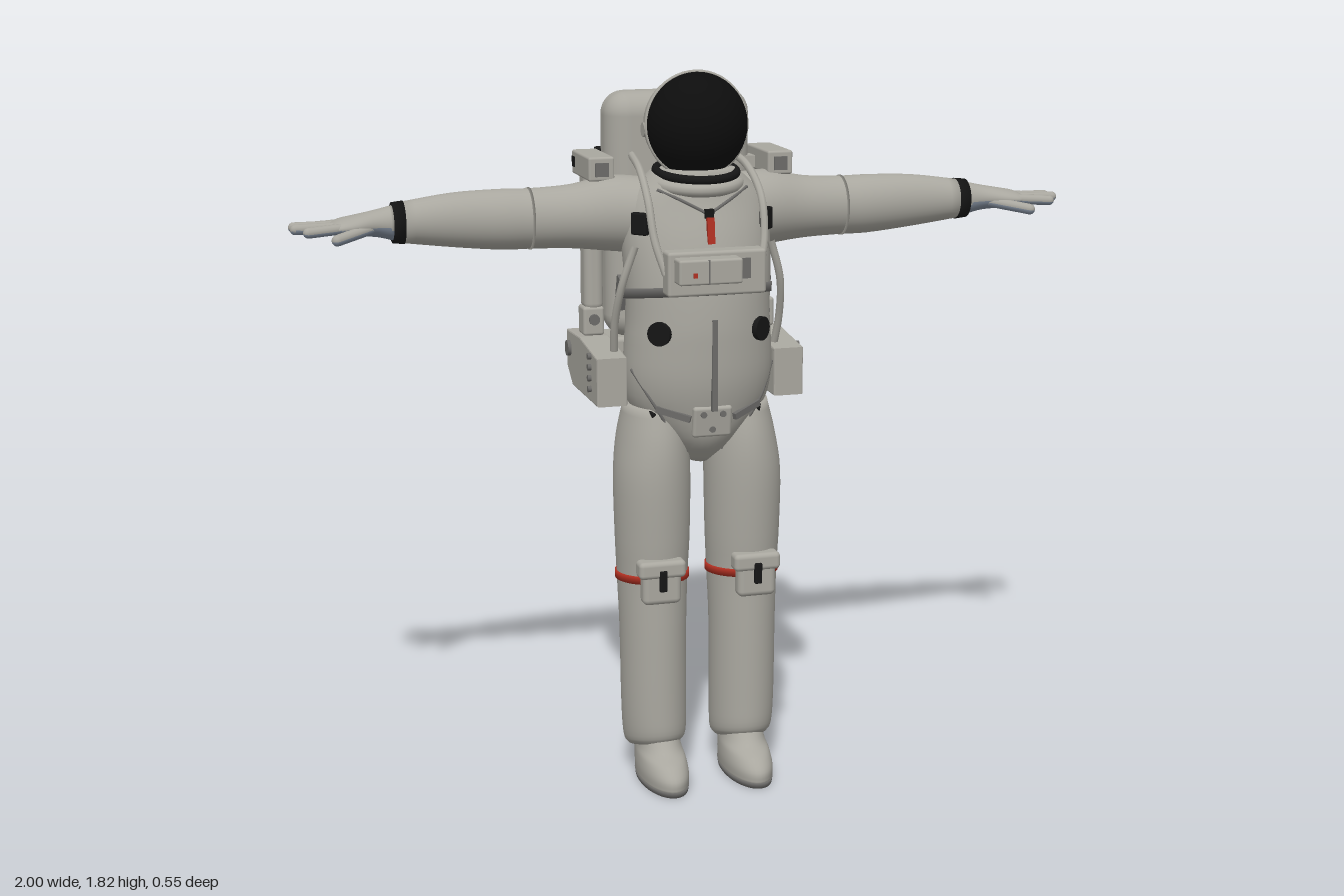
import * as THREE from 'three';
import { RoundedBoxGeometry } from 'three/addons/geometries/RoundedBoxGeometry.js';

const paint = (name, color) => Object.assign(new THREE.MeshStandardMaterial({ color }), { name });
const V = (x, y, z) => new THREE.Vector3(x, y, z);
const box = (w, h, d) => new THREE.BoxGeometry(w, h, d);
const rbox = (w, h, d, r) => new RoundedBoxGeometry(w, h, d, 4, r);
const disc = (r, h) => new THREE.CylinderGeometry(r, r, h, 24);
const tube = (pts, r) => new THREE.TubeGeometry(new THREE.CatmullRomCurve3(pts), 32, r, 8);

function add(parent, name, geo, mat, pos = [0, 0, 0], rot = [0, 0, 0]) {
  const m = new THREE.Mesh(geo, mat);
  m.name = name;
  m.position.set(...pos);
  m.rotation.set(...rot);
  parent.add(m);
  return m;
}

// Smoothly resample rows of section values
function sample(rows, n = 4) {
  const size = rows[0].length;
  const it = new THREE.CubicInterpolant(rows.map((_, i) => i), rows.flat(), size, new Float32Array(size));
  return Array.from({ length: (rows.length - 1) * n + 1 }, (_, k) => Array.from(it.evaluate(k / n)));
}

// Loft of ellipses: [position on axis, centre a, centre b, radius a, radius b, tilt]
function loft(rows, axis = 'y', smooth = 4, seg = 36) {
  const R = sample(rows, smooth), pos = [], idx = [];
  const put = (t, a, b) => pos.push(...(axis === 'y' ? [a, t, b] : [t, a, b]));
  const sgn = axis === 'y' ? 1 : -1;
  for (const [t, a, b, ra, rb, tilt = 0] of R)
    for (let i = 0; i < seg; i++) {
      const u = i / seg * Math.PI * 2, db = sgn * rb * Math.sin(u);
      put(t + tilt * db, a + ra * Math.cos(u), b + db);
    }
  for (const [t, a, b] of [R[0], R.at(-1)]) put(t, a, b);
  const c0 = R.length * seg, last = (R.length - 1) * seg;
  for (let i = 0; i < seg; i++) {
    const j = (i + 1) % seg;
    for (let k = 0; k < last; k += seg) idx.push(k + i, k + seg + i, k + j, k + j, k + seg + i, k + seg + j);
    idx.push(c0, i, j, c0 + 1, last + j, last + i);
  }
  const g = new THREE.BufferGeometry();
  g.setAttribute('position', new THREE.Float32BufferAttribute(pos, 3));
  g.setIndex(idx);
  g.computeVertexNormals();
  return g;
}

// Capsule between two points
function rod(a, b, r) {
  const d = b.clone().sub(a);
  const g = new THREE.CapsuleGeometry(r, d.length(), 5, 12);
  g.applyQuaternion(new THREE.Quaternion().setFromUnitVectors(V(0, 1, 0), d.normalize()));
  const m = a.clone().lerp(b, 0.5);
  return g.translate(m.x, m.y, m.z);
}

// Faces that look down get the second material
function splitUnderside(g) {
  const ix = g.index.array, n = g.attributes.normal, up = [], down = [];
  for (let i = 0; i < ix.length; i += 3) {
    const t = [ix[i], ix[i + 1], ix[i + 2]];
    (n.getY(t[0]) + n.getY(t[1]) + n.getY(t[2]) < -0.6 ? down : up).push(...t);
  }
  g.setIndex([...up, ...down]);
  g.clearGroups();
  g.addGroup(0, up.length, 0);
  g.addGroup(up.length, down.length, 1);
  return g;
}

// Mirrored copy across x with corner order put right
function mirrored(group) {
  const out = new THREE.Group();
  out.name = group.name.replace('left', 'right');
  group.updateMatrixWorld(true);
  group.traverse(m => {
    if (!m.isMesh) return;
    const g = m.geometry.index ? m.geometry.toNonIndexed() : m.geometry.clone();
    g.applyMatrix4(m.matrixWorld).scale(-1, 1, 1);
    for (const { array: a, itemSize: s } of Object.values(g.attributes))
      for (let i = 0; i < a.length; i += 3 * s)
        for (let k = 0; k < s; k++) [a[i + s + k], a[i + 2 * s + k]] = [a[i + 2 * s + k], a[i + s + k]];
    add(out, m.name, g, m.material);
  });
  return out;
}

const TORSO = [[0.84, 0, 0.03, 0.03, 0.06], [0.9, 0, 0.03, 0.1, 0.122], [0.98, 0, 0.035, 0.17, 0.143],
  [1.06, 0, 0.045, 0.19, 0.15], [1.15, 0, 0.05, 0.188, 0.15], [1.22, 0, 0.05, 0.184, 0.15],
  [1.32, 0, 0.045, 0.186, 0.145], [1.42, 0, 0.03, 0.19, 0.135], [1.5, 0, 0.015, 0.178, 0.122],
  [1.55, 0, 0.015, 0.135, 0.11], [1.58, 0, 0.025, 0.1, 0.09]];
const torsoRows = sample(TORSO);

// Point and facing angle on the front of the torso
function front(x, y, lift = 0) {
  const i = Math.max(1, torsoRows.findIndex(r => r[0] >= y)), [p, q] = [torsoRows[i - 1], torsoRows[i]];
  const [, , cz, rx, rz] = p.map((v, k) => v + (q[k] - v) * (y - p[0]) / (q[0] - p[0]));
  const dz = rz * Math.sqrt(Math.max(0.02, 1 - (x / rx) ** 2));
  return { p: [x, y, cz + dz + lift], a: Math.atan2(x / rx ** 2, dz / rz ** 2) };
}

export function createModel() {
  const suit = paint('suit fabric', 0xa9a79f), trim = paint('grey trim', 0x6c6b69), black = paint('black', 0x161616),
    visorMat = paint('visor', 0x0d0d0d), red = paint('red', 0xb03022), palm = paint('glove palm', 0x7f8a99);
  const model = new THREE.Group();
  model.name = 'astronaut';
  const group = (name, parent = model) => {
    const g = new THREE.Group();
    g.name = name;
    parent.add(g);
    return g;
  };
  const pair = g => model.add(mirrored(g));
  const onTorso = (parent, name, geo, mat, x, y, lift = 0, rz = 0) => {
    const f = front(x, y, lift);
    return add(parent, name, geo, mat, f.p, [0, f.a, rz]);
  };
  const seam = pts => tube(pts.map(([x, y]) => V(...front(x, y, 0.001).p)), 0.004);

  // Helmet
  const helmet = group('helmet');
  helmet.position.set(0, 1.685, 0.025);
  helmet.rotation.x = -0.06;
  add(helmet, 'helmetShell', new THREE.SphereGeometry(0.128, 40, 28), suit);
  add(helmet, 'visor', new THREE.SphereGeometry(0.1305, 40, 20, 0, Math.PI * 2, 0, 1.42).rotateX(Math.PI / 2), visorMat);
  add(helmet, 'visorRim', new THREE.TorusGeometry(0.129, 0.005, 8, 48), suit, [0, 0, 0.016]);
  for (const s of [-1, 1])
    add(helmet, 'visorHinge', disc(0.018, 0.016), suit, [s * 0.124, -0.01, -0.01], [0, 0, Math.PI / 2]);
  add(model, 'neckRing', new THREE.TorusGeometry(0.1, 0.011, 10, 40), black, [0, 1.572, 0.035], [Math.PI / 2 + 0.12, 0, 0]);
  add(model, 'collar', new THREE.TorusGeometry(0.108, 0.017, 10, 40), suit, [0, 1.548, 0.025], [Math.PI / 2 + 0.12, 0, 0]);

  // Torso and chest fittings
  add(model, 'torso', loft(TORSO), suit);
  add(model, 'chestBelt', loft([[1.262, 0, 0.047, 0.19, 0.15, 0.16], [1.286, 0, 0.046, 0.191, 0.15, 0.16]], 'y', 1), trim);
  add(model, 'chestModule', rbox(0.25, 0.11, 0.055, 0.008), suit, [0, 1.345, 0.195]);
  add(model, 'controlBox', rbox(0.16, 0.062, 0.055, 0.006), suit, [-0.03, 1.357, 0.242]);
  add(model, 'controlDivider', box(0.004, 0.06, 0.004), trim, [-0.035, 1.357, 0.269]);
  add(model, 'controlLight', box(0.01, 0.012, 0.004), red, [-0.07, 1.35, 0.269]);
  add(model, 'controlLatch', box(0.025, 0.05, 0.01), trim, [0.07, 1.355, 0.222]);
  add(model, 'chestTab', box(0.018, 0.065, 0.012), red, front(0, 1.44, 0.004).p, [-0.12, 0, 0]);
  add(model, 'chestTabClip', box(0.022, 0.022, 0.014), black, front(0, 1.48, 0.004).p);
  add(model, 'zipper', box(0.014, 0.23, 0.012), trim, [0, 1.11, 0.196]);
  add(model, 'groinPlate', rbox(0.1, 0.08, 0.02, 0.008), suit, front(0, 0.965, 0).p, [0.15, 0, 0]);
  for (const [x, y] of [[-0.025, 0.985], [0.025, 0.985], [0, 0.945]])
    add(model, 'groinStud', disc(0.008, 0.01), trim, front(x, y, 0.01).p, [Math.PI / 2, 0, 0]);

  const fit = group('leftFittings');
  add(fit, 'collarSeam', seam([[0.115, 1.535], [0.06, 1.51], [0.004, 1.48]]), trim);
  add(fit, 'hipSeam', seam([[0.184, 1.09], [0.14, 1.01], [0.09, 0.93], [0.045, 0.875]]), trim);
  onTorso(fit, 'waistDial', disc(0.03, 0.016).rotateX(Math.PI / 2), black, 0.13, 1.19, 0.003);
  onTorso(fit, 'shoulderBuckle', rbox(0.046, 0.055, 0.02, 0.005), black, 0.162, 1.455, 0.012);
  onTorso(fit, 'buckleFace', box(0.02, 0.024, 0.006), suit, 0.164, 1.455, 0.022);
  onTorso(fit, 'hipClip', rbox(0.028, 0.05, 0.022, 0.005), black, 0.14, 0.965, 0.006, 0.5);
  onTorso(fit, 'hipStrap', box(0.09, 0.016, 0.012), trim, 0.095, 0.985, 0.004, 0.25);
  add(fit, 'beltBuckle', box(0.02, 0.075, 0.05), trim, [0.185, 1.27, 0.01], [0.3, 0, 0]);
  add(fit, 'shoulderHose', tube([V(0.13, 1.6, -0.1), V(0.14, 1.575, 0.02), V(0.145, 1.51, 0.115),
    V(0.14, 1.42, 0.155), V(0.12, 1.34, 0.185)], 0.01), suit);
  add(fit, 'sideHose', tube([V(0.175, 1.4, 0.1), V(0.205, 1.3, 0.085), V(0.215, 1.2, 0.05), V(0.21, 1.11, 0.02)], 0.01), suit);
  pair(fit);

  // Arm and glove
  const arm = group('leftArm');
  add(arm, 'sleeve', loft([[0.08, 1.455, -0.01, 0.095, 0.1], [0.2, 1.465, -0.028, 0.095, 0.092], [0.3, 1.46, -0.036, 0.08, 0.074],
    [0.4, 1.458, -0.042, 0.075, 0.066], [0.48, 1.459, -0.042, 0.075, 0.065], [0.6, 1.463, -0.04, 0.067, 0.056],
    [0.73, 1.463, -0.036, 0.05, 0.046]], 'x'), suit);
  add(arm, 'sleeveSeam', loft([[0.405, 1.458, -0.042, 0.077, 0.068], [0.411, 1.458, -0.042, 0.077, 0.068]], 'x', 1), suit);
  add(arm, 'wristCuff', loft([[0.722, 1.463, -0.036, 0.053, 0.05], [0.75, 1.463, -0.036, 0.05, 0.048]], 'x', 1), black);
  const glove = [suit, palm];
  add(arm, 'hand', splitUnderside(loft([[0.745, 1.463, -0.036, 0.044, 0.042], [0.79, 1.464, -0.033, 0.033, 0.042],
    [0.84, 1.462, -0.026, 0.026, 0.052], [0.88, 1.46, -0.025, 0.02, 0.054], [0.905, 1.459, -0.026, 0.009, 0.042]], 'x')), glove);
  for (const [x0, z0, x1, y1, z1] of [[0.87, -0.063, 0.96, 1.452, -0.088], [0.88, -0.04, 0.985, 1.458, -0.058],
    [0.88, -0.014, 0.986, 1.46, -0.012], [0.87, 0.01, 0.96, 1.457, 0.03]])
    add(arm, 'finger', splitUnderside(rod(V(x0, 1.461, z0), V(x1, y1, z1), 0.013)), glove);
  add(arm, 'thumb', splitUnderside(rod(V(0.81, 1.455, 0), V(0.895, 1.44, 0.055), 0.014)), glove);
  pair(arm);

  // Leg, knee pouch and boot
  const leg = group('leftLeg');
  add(leg, 'trouser', loft([[0.99, 0.11, 0.025, 0.075, 0.105, 0], [0.9, 0.115, 0.03, 0.09, 0.122, 0], [0.8, 0.12, 0.043, 0.097, 0.116, 0],
    [0.65, 0.12, 0.045, 0.095, 0.108, 0], [0.54, 0.12, 0.043, 0.09, 0.103, 0], [0.4, 0.12, 0.048, 0.085, 0.1, 0],
    [0.2, 0.119, 0.05, 0.083, 0.1, 0.1], [0.11, 0.117, 0.05, 0.079, 0.099, 0.24], [0.085, 0.117, 0.05, 0.066, 0.086, 0.26]].reverse()), suit);
  add(leg, 'kneeBand', loft([[0.534, 0.12, 0.043, 0.094, 0.107, 0.07], [0.554, 0.12, 0.043, 0.094, 0.107, 0.07]], 'y', 1), red);
  add(leg, 'kneePouch', rbox(0.1, 0.105, 0.045, 0.015), suit, [0.125, 0.545, 0.145]);
  add(leg, 'pouchFlap', rbox(0.122, 0.045, 0.05, 0.012), suit, [0.125, 0.585, 0.148]);
  add(leg, 'pouchClip', rbox(0.02, 0.055, 0.015, 0.004), black, [0.125, 0.557, 0.17]);
  add(leg, 'boot', loft([[0.01, 0.113, 0.105, 0.06, 0.138], [0.04, 0.113, 0.104, 0.062, 0.138], [0.068, 0.113, 0.09, 0.06, 0.122],
    [0.09, 0.113, 0.067, 0.057, 0.097], [0.13, 0.115, 0.05, 0.056, 0.078]]), suit);
  add(leg, 'sole', loft([[0, 0.113, 0.105, 0.06, 0.139], [0.014, 0.113, 0.105, 0.062, 0.141]], 'y', 1), trim);
  pair(leg);

  // Backpack
  const pack = group('backpack');
  add(pack, 'packBody', rbox(0.38, 0.63, 0.14, 0.06), suit, [0, 1.44, -0.16]);
  add(pack, 'packShell', rbox(0.35, 0.54, 0.09, 0.035), suit, [0, 1.42, -0.224]);
  add(pack, 'packPanel', rbox(0.2, 0.24, 0.01, 0.004), suit, [0, 1.53, -0.268]);
  add(pack, 'packLabel', box(0.1, 0.045, 0.004), red, [0, 1.59, -0.274]);
  add(pack, 'lowerBox', rbox(0.5, 0.13, 0.13, 0.012), suit, [0, 1.065, -0.17]);
  add(pack, 'lowerPanel', rbox(0.24, 0.085, 0.02, 0.008), suit, [0, 1.065, -0.237]);

  // Side frame of the backpack
  const side = group('leftPackFrame');
  const plate = new THREE.Shape([[-0.08, 1.0], [-0.08, 1.115], [0.1, 1.135], [0.235, 1.13], [0.235, 1.04], [0.18, 1.0]]
    .map(p => new THREE.Vector2(...p)));
  add(side, 'sidePlate', new THREE.ExtrudeGeometry(plate, { depth: 0.07, bevelSize: 0.004, bevelThickness: 0.004, bevelSegments: 2 })
    .rotateY(Math.PI / 2), suit, [0.196, 0, 0]);
  for (let i = 0; i < 4; i++)
    add(side, 'plateKnob', disc(0.008, 0.012), trim, [0.273, 1.03 + i * 0.028, 0.02], [0, 0, Math.PI / 2]);
  add(side, 'plateBolt', disc(0.02, 0.014), trim, [0.272, 1.09, -0.205], [0, 0, Math.PI / 2]);
  add(side, 'drainValve', disc(0.026, 0.05), suit, [0.17, 0.992, -0.17]);
  add(side, 'column', rbox(0.05, 0.38, 0.068, 0.02), suit, [0.225, 1.39, -0.145]);
  add(side, 'columnJoint', rbox(0.055, 0.075, 0.06, 0.008), suit, [0.228, 1.175, -0.14]);
  add(side, 'jointPin', disc(0.014, 0.012), trim, [0.228, 1.18, -0.109], [Math.PI / 2, 0, 0]);
  add(side, 'columnFoot', disc(0.018, 0.1), suit, [0.225, 1.16, -0.165]);
  add(side, 'shoulderBox', rbox(0.066, 0.06, 0.18, 0.006), suit, [0.232, 1.578, -0.09]);
  add(side, 'shoulderLamp', box(0.034, 0.034, 0.008), trim, [0.232, 1.577, 0.001]);
  add(side, 'boxBracket', box(0.07, 0.03, 0.05), suit, [0.19, 1.57, -0.13]);
  for (const y of [1.345, 1.59]) add(side, 'packClip', rbox(0.03, 0.034, 0.055, 0.005), black, [0.18, y, -0.205]);
  add(side, 'boxClip', box(0.008, 0.026, 0.024), black, [0.264, 1.58, -0.155]);
  pair(side);

  return model;
}
